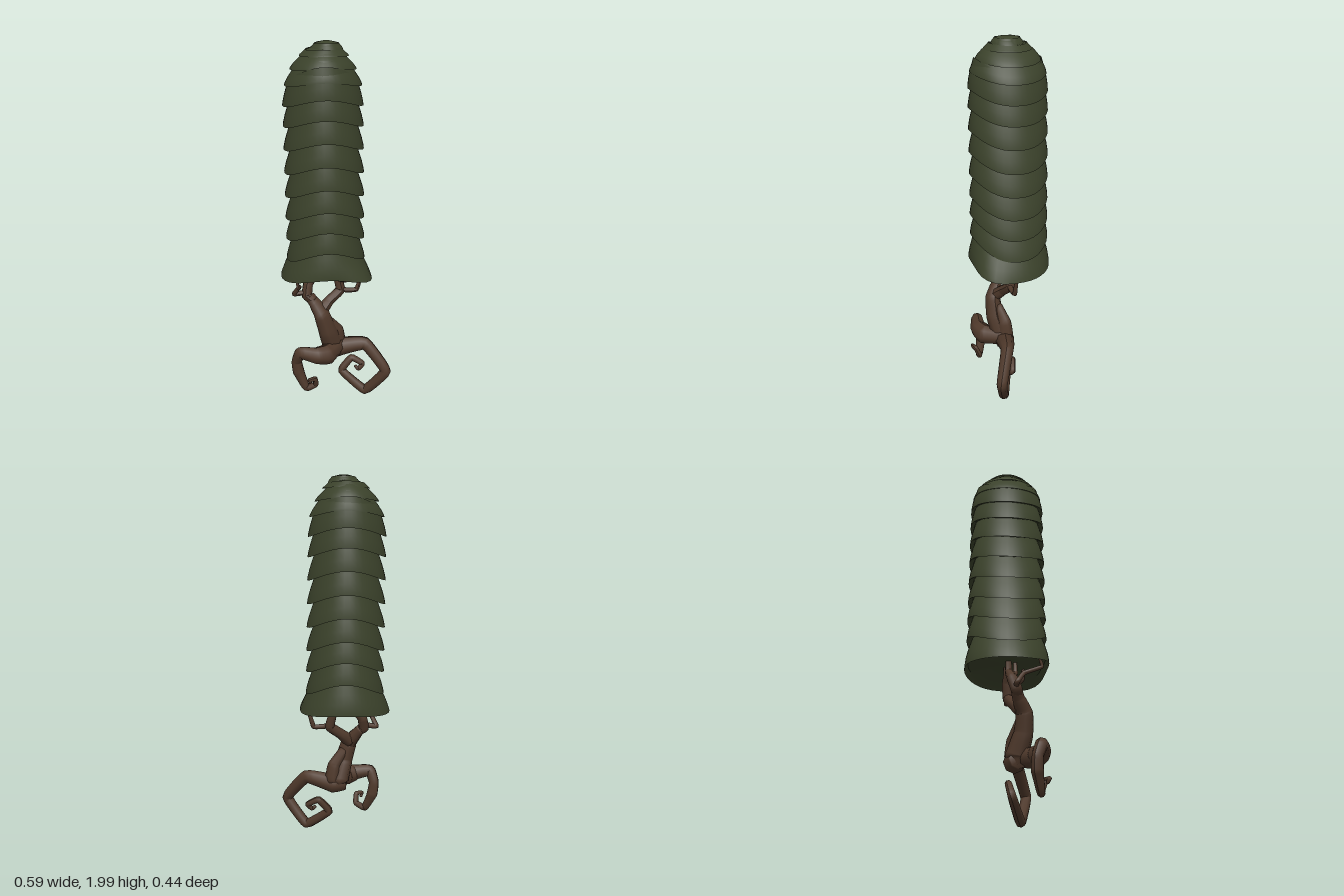
import * as THREE from 'three';
import { toCreasedNormals } from 'three/addons/utils/BufferGeometryUtils.js';

const leaf = new THREE.MeshStandardMaterial({ color: 0x3b422b });
leaf.name = 'mossGreen';
leaf.side = THREE.DoubleSide;
const bark = new THREE.MeshStandardMaterial({ color: 0x4f392b });
bark.name = 'barkBrown';

// One overlapping skirt of the canopy; its rim dips at the sides and rises at front and back.
function tier(name, { y, r, topY, topR, wave, cx, cz = 0, flare = 0 }) {
  const h = topY - y;
  const at = (k, f) => new THREE.Vector2(topR + (r - topR) * k, y + h * f);
  const profile = [
    new THREE.Vector2(flare ? 0 : r * 0.75, y + (flare ? 0.06 : 0.03)),
    new THREE.Vector2(r * 0.9, y + (flare ? 0.03 : 0.012)),
    at(1, 0), at(0.94, 0.12), at(0.74, 0.36), at(0.42, 0.65), at(0, 1),
  ];
  if (topR === 0) profile.splice(3, 3, at(0.9, 0.4), at(0.65, 0.78), at(0.35, 0.95));
  let g = new THREE.LatheGeometry(profile, 40);
  const p = g.attributes.position;
  for (let i = 0; i < p.count; i++) {
    const x = p.getX(i), z = p.getZ(i), a = Math.atan2(z, x);
    const s = Math.sin(a - 0.08), up = (p.getY(i) - y) / h;
    const back = s < 0 ? (flare ? 0.45 : 0.88) : 1;
    const rise = 2.1 * wave * back * Math.abs(s) ** 2.5 * Math.min(1, Math.hypot(x, z) / (r * 0.7));
    // the lowest skirt is wider sideways and bulges at one corner
    const bulge = 1 + flare * Math.max(0, 1 - up)
      * (0.05 * Math.cos(2 * a) + 0.18 * Math.exp(-(((a - 0.75) / 0.42) ** 2)));
    // skirts overhang less at front and back
    const full = 1 + 0.07 * up * s * s;
    p.setXYZ(i, x * bulge + cx, p.getY(i) + rise, z * bulge * full + cz);
  }
  g = toCreasedNormals(g, 0.9);
  const mesh = new THREE.Mesh(g, leaf);
  mesh.name = name;
  return mesh;
}

// Tapering crooked branch; each point is [x, y, z, radius].
function branch(name, pts) {
  const curve = new THREE.CatmullRomCurve3(
    pts.map(([x, y, z]) => new THREE.Vector3(x, y, z)), false, 'catmullrom', 0.15);
  curve.getPointAt = curve.getPoint;
  curve.getTangentAt = curve.getTangent;
  const n = (pts.length - 1) * 6, sides = 8;
  const g = new THREE.TubeGeometry(curve, n, 1, sides);
  const p = g.attributes.position, v = new THREE.Vector3();
  for (let i = 0; i <= n; i++) {
    const c = curve.getPoint(i / n);
    const k = Math.min(Math.floor(i / 6), pts.length - 2), f = i / 6 - k;
    let rad = pts[k][3] * (1 - f) + pts[k + 1][3] * f;
    if (i === 0 || i === n) rad *= 0.05;
    for (let j = 0; j <= sides; j++) {
      const id = i * (sides + 1) + j;
      v.fromBufferAttribute(p, id).sub(c).multiplyScalar(rad).add(c);
      p.setXYZ(id, v.x, v.y, v.z);
    }
  }
  g.computeVertexNormals();
  const mesh = new THREE.Mesh(g, bark);
  mesh.name = name;
  return mesh;
}

export function createModel() {
  const model = new THREE.Group();
  model.name = 'hangingCanopyCreature';

  // Domed crown
  const canopy = new THREE.Group();
  canopy.name = 'canopy';
  canopy.add(
    tier('crownCap', { y: 1.96, r: 0.082, topY: 2, topR: 0, wave: 0.002, cx: -0.042, cz: 0.01 }),
    tier('crownRing', { y: 1.93, r: 0.124, topY: 1.972, topR: 0.06, wave: 0.003, cx: -0.054, cz: 0.003 }),
    tier('crownRing', { y: 1.865, r: 0.167, topY: 1.942, topR: 0.095, wave: 0.009, cx: -0.058 }),
    tier('crownRing', { y: 1.785, r: 0.196, topY: 1.885, topR: 0.135, wave: 0.018, cx: -0.058 }),
  );

  // Stacked skirts
  [1.685, 1.58, 1.46, 1.335, 1.21, 1.085, 0.97, 0.85].forEach((y, i) => {
    canopy.add(tier('skirt', {
      y, r: 0.206 + i * 0.001, topY: y + 0.155, topR: 0.163,
      wave: 0.027 + 0.0027 * i, cx: -0.06 + 0.0015 * i,
    }));
  });
  canopy.add(tier('bottomSkirt', {
    y: 0.745, r: 0.233, topY: 0.91, topR: 0.174, wave: 0.026, cx: -0.052, flare: 1,
  }));
  model.add(canopy);

  // Twisted body and limbs
  const body = new THREE.Group();
  body.name = 'body';
  body.add(
    branch('torso', [[-0.02, 0.255, 0.05, 0.03], [-0.02, 0.32, 0.055, 0.06],
      [-0.055, 0.43, 0.085, 0.05], [-0.085, 0.53, 0.085, 0.044],
      [-0.12, 0.59, 0.05, 0.033], [-0.15, 0.63, 0.03, 0.028]]),
    branch('hip', [[-0.06, 0.5, 0.07, 0.025], [0.005, 0.41, 0.045, 0.036],
      [0.015, 0.33, 0.04, 0.042], [-0.04, 0.28, 0.06, 0.035]]),
    branch('rightArm', [[-0.12, 0.6, 0.05, 0.026], [-0.16, 0.63, 0.03, 0.03],
      [-0.15, 0.69, 0.01, 0.028], [-0.11, 0.74, 0.0, 0.02], [-0.1, 0.84, 0.0, 0.014]]),
    branch('leftArm', [[-0.09, 0.54, 0.07, 0.038], [-0.04, 0.59, 0.04, 0.03],
      [0.03, 0.645, 0.02, 0.028], [0.015, 0.72, 0.01, 0.024], [-0.01, 0.77, 0.01, 0.02],
      [-0.01, 0.86, 0.0, 0.013]]),
    branch('middleFinger', [[0.01, 0.71, 0.01, 0.016], [0.05, 0.72, 0.06, 0.013],
      [0.02, 0.755, 0.1, 0.011], [0.01, 0.83, 0.1, 0.007]]),
    branch('innerFinger', [[-0.13, 0.71, 0.01, 0.016], [-0.08, 0.745, 0.04, 0.014],
      [-0.07, 0.84, 0.04, 0.009]]),
    branch('rightFinger', [[-0.16, 0.65, 0.03, 0.016], [-0.23, 0.64, 0.02, 0.014],
      [-0.205, 0.7, 0.06, 0.012], [-0.22, 0.735, 0.15, 0.01], [-0.23, 0.79, 0.13, 0.006]]),
    branch('leftFinger', [[0.02, 0.66, 0.02, 0.016], [0.06, 0.645, 0.03, 0.015],
      [0.12, 0.645, 0.03, 0.014], [0.145, 0.73, 0.03, 0.01], [0.15, 0.8, 0.04, 0.006]]),
    // long curling legs
    branch('rightLeg', [[0.02, 0.32, 0.04, 0.045], [-0.07, 0.31, 0.14, 0.058],
      [-0.13, 0.32, 0.16, 0.048], [-0.215, 0.335, 0.14, 0.033], [-0.235, 0.27, 0.115, 0.029],
      [-0.225, 0.2, 0.115, 0.033], [-0.185, 0.105, 0.14, 0.02], [-0.135, 0.13, 0.155, 0.016],
      [-0.14, 0.18, 0.175, 0.014], [-0.175, 0.18, 0.185, 0.011], [-0.165, 0.155, 0.175, 0.007]]),
    branch('leftLeg', [[-0.06, 0.3, 0.06, 0.045], [0.01, 0.3, 0.05, 0.058],
      [0.16, 0.33, 0.09, 0.036], [0.268, 0.18, 0.162, 0.03], [0.16, 0.033, 0.11, 0.028],
      [0.035, 0.135, 0.042, 0.023], [0.095, 0.21, 0.035, 0.019], [0.155, 0.175, 0.055, 0.016],
      [0.13, 0.145, 0.06, 0.012], [0.11, 0.165, 0.05, 0.008]]),
  );
  model.add(body);
  return model;
}
